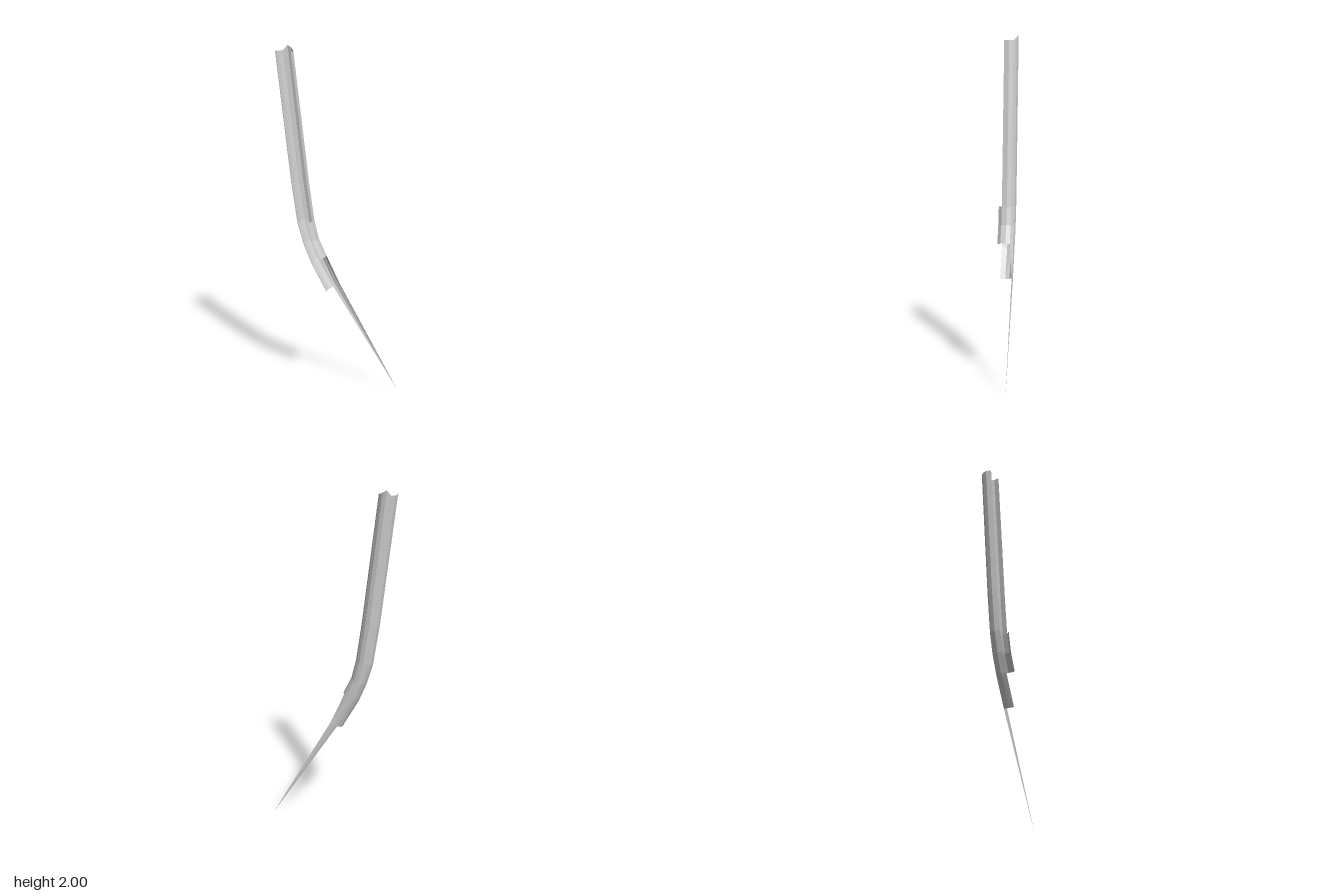
import * as THREE from 'three';

const material = new THREE.MeshStandardMaterial({
  color: 0xcccccc, flatShading: true, side: THREE.DoubleSide,
});

// Open channel profile: [fraction from left edge to right edge, z]
const profile = [
  [0.07, 0.03], [0, 0], [0.09, -0.025], [0.27, -0.043], [0.5, -0.05],
  [0.73, -0.043], [0.91, -0.025], [1, 0], [0.95, 0.03],
];

// Stations down the bend: left x, left y, right x, right y
const stations = [
  [-0.358, 1.97, -0.253, 1.97],
  [-0.27, 1.22, -0.165, 1.22],
  [-0.235, 0.99, -0.135, 1.005],
  [-0.2, 0.87, -0.11, 0.9],
  [-0.155, 0.76, -0.063, 0.8],
];

const across = ([lx, ly, rx, ry], [s, z]) =>
  [lx + (rx - lx) * s, ly + (ry - ly) * s, z];

// Skin a strip of surface over rows of points
function sheet(name, rows) {
  const n = rows[0].length;
  const index = [];
  for (let i = 0; i < rows.length - 1; i++) {
    for (let j = 0; j < n - 1; j++) {
      const a = i * n + j, b = a + n;
      index.push(a, a + 1, b, a + 1, b + 1, b);
    }
  }
  const geometry = new THREE.BufferGeometry();
  geometry.setAttribute('position', new THREE.Float32BufferAttribute(rows.flat(2), 3));
  geometry.setIndex(index);
  geometry.computeVertexNormals();
  const mesh = new THREE.Mesh(geometry, material);
  mesh.name = name;
  return mesh;
}

export function createModel() {
  const group = new THREE.Group();
  group.name = 'splinteredChannel';

  // Bent channel, with a ragged peak on the back of its top end
  const rows = stations.map((st) => profile.map((p) => across(st, p)));
  rows[0][4][1] = 2;
  rows[0][5][1] = 1.987;
  group.add(sheet('channel', rows));

  // Lower end: the left wall carries on while the right one is torn away
  const lowerEdge = [
    [-0.055, 0.592, 0.03], [-0.06, 0.59, 0], [-0.055, 0.592, -0.025],
    [-0.035, 0.602, -0.043], [-0.02, 0.607, -0.05],
    [-0.003, 0.615, -0.048], [0.008, 0.617, -0.045],
  ];
  group.add(sheet('lowerChannel', [rows[4].slice(0, 7), lowerEdge]));

  // Long spike tapering off the back of the channel
  const spikeRoot = lowerEdge.slice(3);
  group.add(sheet('spike', [spikeRoot, spikeRoot.map(() => [0.356, 0, -0.05])]));

  // Tab folded inward from the right lip
  group.add(sheet('lipTab', stations.slice(2).map((st) =>
    [across(st, profile[8]), across(st, [0.75, 0.05])])));

  return group;
}
